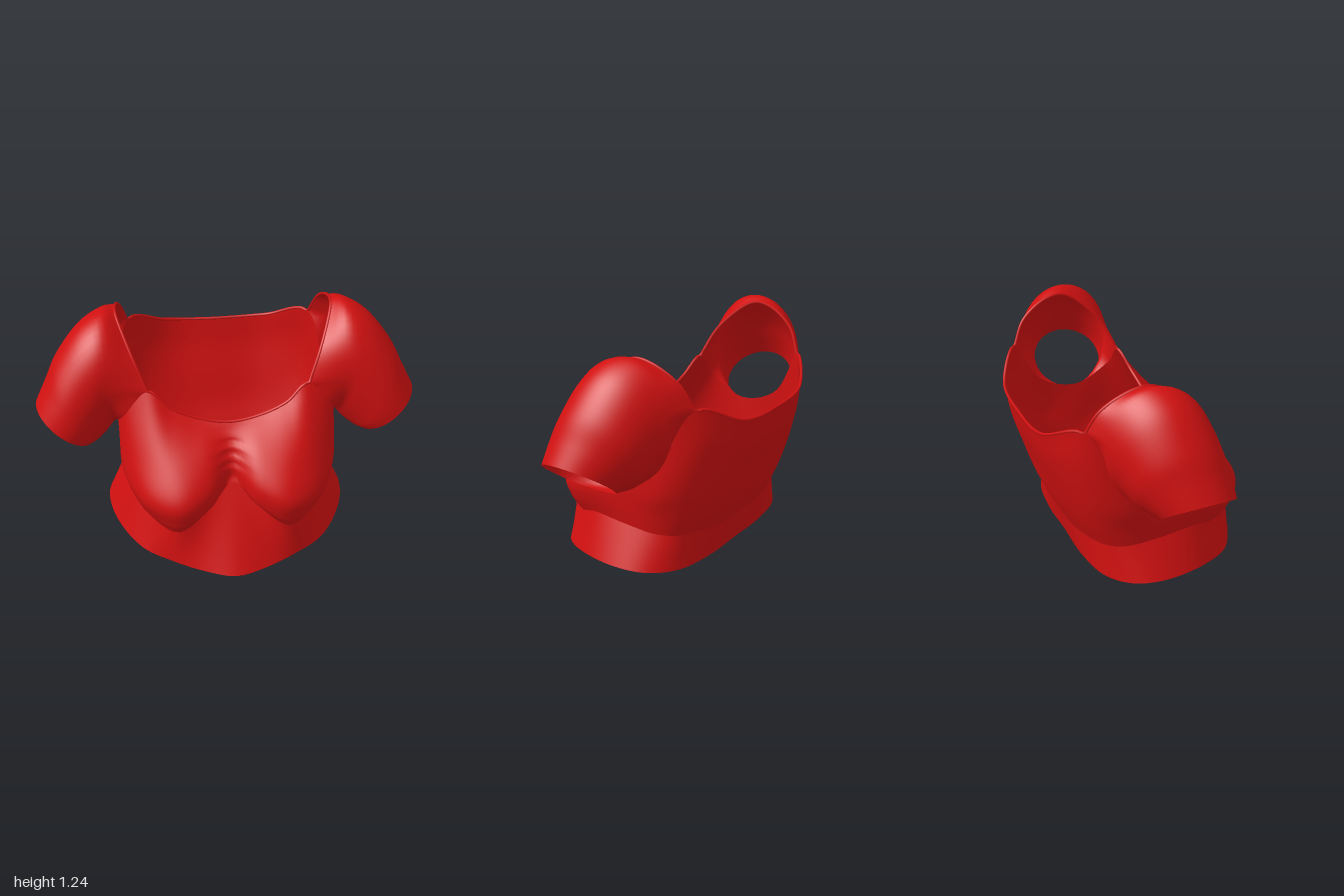
import * as THREE from 'three';

const STEPS = 6;   // subdivisions between control points
const COLS = 18 * STEPS;
const vec = ([x, y, z]) => new THREE.Vector3(x, y, z);

// Half cross-sections of the garment: front centre -> left side -> back centre
const hem = [[0, 0, .595], [.16, .01, .555], [.33, .03, .48], [.49, .05, .37], [.61, .085, .17],
  [.65, .095, -.05], [.6, .09, -.22], [.46, .085, -.33], [.23, .08, -.365], [0, .075, -.36]];
const underBust = [[0, .44, .36], [.12, .33, .42], [.29, .22, .475], [.44, .235, .33], [.53, .3, .16],
  [.555, .3, -.05], [.53, .28, -.22], [.44, .27, -.33], [.22, .25, -.39], [0, .25, -.4]];
const bustLow = [[0, .47, .34], [.12, .37, .46], [.29, .29, .505], [.46, .31, .38], [.555, .38, .17],
  [.565, .38, -.06], [.545, .4, -.25], [.45, .4, -.38], [.24, .4, -.45], [0, .4, -.465]];
const bust = [[0, .52, .33], [.13, .47, .455], [.29, .41, .515], [.46, .41, .41], [.565, .45, .18],
  [.57, .46, -.06], [.565, .5, -.27], [.46, .58, -.43], [.25, .56, -.5], [0, .56, -.51]];
const chest = [[0, .62, .28], [.14, .6, .36], [.3, .57, .4], [.45, .59, .31], [.56, .59, .16],
  [.575, .54, -.06], [.57, .6, -.28], [.47, .8, -.46], [.26, .74, -.55], [0, .73, -.56]];
// Upper edge: neckline, down around the armhole, up to the back neckline
const topEdge = [[0, .715, .2], [.16, .74, .19], [.3, .8, .175], [.42, .89, .14], [.55, .74, .135],
  [.58, .63, -.05], [.57, .72, -.27], [.5, .99, -.43], [.28, .9, -.57], [0, .88, -.59]];
// Shoulder edge from the back neck corner over to the front neck corner
const shoulder = [[.5, .99, -.43], [.535, 1.12, -.36], [.56, 1.205, -.22], [.555, 1.2, -.09],
  [.49, 1.06, .06], [.42, .89, .14]];

// Sleeve sections: bottom x, y, top x, y, front z, back z
const sleeveSections = [
  [.6, .59, .635, 1.23, .15, -.37],
  [.63, .56, .76, 1.16, .17, -.33],
  [.66, .545, .88, 1.01, .19, -.29],
  [.685, .54, .945, .88, .2, -.24],
  [.71, .54, 1, .77, .2, -.19],
];

// Mirrors a half section and samples it as a smooth closed ring
function ring(half) {
  const mirrored = half.slice(1, -1).reverse().map(([x, y, z]) => [-x, y, z]);
  const curve = new THREE.CatmullRomCurve3([...half, ...mirrored].map(vec), true, 'catmullrom', .5);
  return Array.from({ length: COLS }, (_, i) => curve.getPoint(i / COLS));
}

// Smoothly interpolates a stack of rings
function loft(rings, perSpan) {
  const columns = rings[0].map((_, j) =>
    new THREE.CatmullRomCurve3(rings.map(r => r[j]), false, 'catmullrom', .5));
  const n = (rings.length - 1) * perSpan;
  return Array.from({ length: n + 1 }, (_, i) => columns.map(c => c.getPoint(i / n)));
}

// Skins rows of closed rings
function skin(rows, flip = false) {
  const n = rows[0].length, index = [];
  for (let i = 0; i < rows.length - 1; i++) {
    for (let j = 0; j < n; j++) {
      const k = (j + 1) % n;
      const a = i * n + j, b = i * n + k, c = a + n, d = b + n;
      if (flip) index.push(a, c, b, b, c, d);
      else index.push(a, b, c, b, d, c);
    }
  }
  const geometry = new THREE.BufferGeometry().setFromPoints(rows.flat());
  geometry.setIndex(index);
  geometry.computeVertexNormals();
  return geometry;
}

export function createModel() {
  const group = new THREE.Group();
  group.name = 'croppedTop';
  const red = new THREE.MeshStandardMaterial({ color: 0xd01010, side: THREE.DoubleSide });
  red.name = 'red cloth';
  const add = (name, geometry) => {
    const mesh = new THREE.Mesh(geometry, red);
    mesh.name = name;
    group.add(mesh);
  };

  // Midriff band, meeting the bodice in a sharp crease
  add('midriff', skin(loft([hem, underBust].map(ring), 6)));

  // Bodice with small gathers at the centre front
  const bodice = loft([underBust, bustLow, bust, chest, topEdge].map(ring), 7);
  for (const p of bodice.flat()) {
    if (p.z > 0 && p.y > .5 && p.y < .7) {
      const fade = Math.sin((p.y - .5) / .2 * Math.PI);
      p.z += .009 * fade * Math.sin(p.y * 126) * Math.exp(-((p.x / .07) ** 2));
    }
  }
  add('bodice', skin(bodice));

  // Armhole loop: the bodice edge under the arm plus the shoulder edge
  const edge = ring(topEdge);
  const shoulderCurve = new THREE.CatmullRomCurve3(shoulder.map(vec), false, 'catmullrom', .5);
  const shoulderPoints = shoulderCurve.getPoints(30);
  const armhole = [...edge.slice(3 * STEPS, 7 * STEPS), ...shoulderPoints.slice(0, -1)];

  // Puffed sleeves
  const angles = armhole.map(p => Math.atan2((p.z + .12) / .27, (.9 - p.y) / .32));
  const sections = sleeveSections.map(([bx, by, tx, ty, zf, zb]) => angles.map(a => {
    const t = (1 - Math.cos(a)) / 2;
    return new THREE.Vector3(bx + (tx - bx) * t, by + (ty - by) * t,
      (zf + zb) / 2 + (zf - zb) / 2 * Math.sin(a));
  }));
  const sleeve = loft([armhole, ...sections], 5);
  const mirror = p => new THREE.Vector3(-p.x, p.y, p.z);
  add('leftSleeve', skin(sleeve));
  add('rightSleeve', skin(sleeve.map(row => row.map(mirror)), true));

  // Narrow rolled trim along the neckline
  const halfNeck = [...edge.slice(0, 3 * STEPS), ...shoulderPoints.slice().reverse(),
    ...edge.slice(7 * STEPS + 1, 9 * STEPS + 1)];
  const neck = [...halfNeck, ...halfNeck.slice(1, -1).reverse().map(mirror)];
  const neckCurve = new THREE.CatmullRomCurve3(neck, true);
  add('necklineTrim', new THREE.TubeGeometry(neckCurve, 160, .008, 6, true));

  return group;
}
